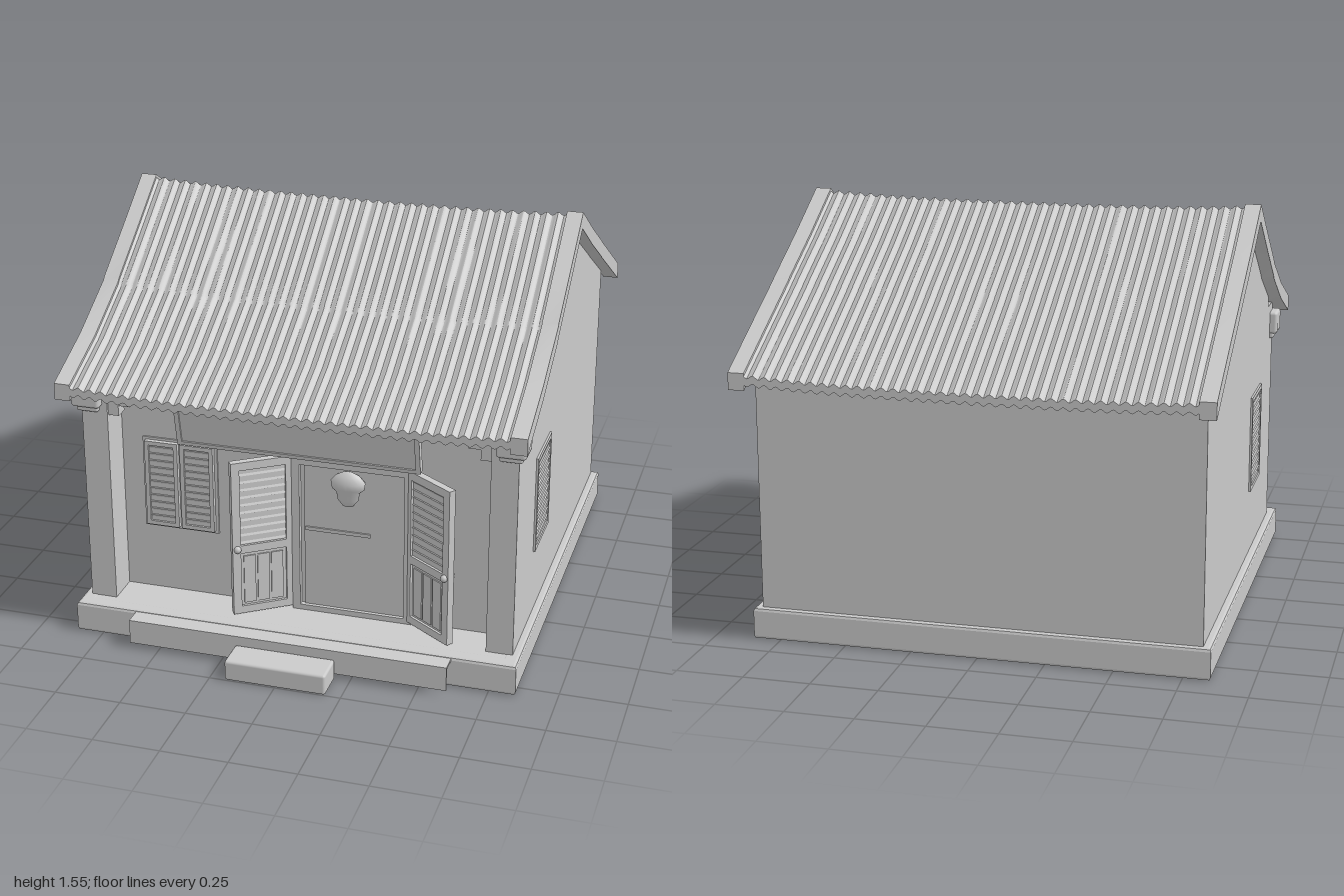
import * as THREE from 'three';
import { toCreasedNormals } from 'three/addons/utils/BufferGeometryUtils.js';
import { RoundedBoxGeometry } from 'three/addons/geometries/RoundedBoxGeometry.js';

const plaster = new THREE.MeshStandardMaterial({ color: 0xcacaca });
plaster.name = 'plainGrey';

// roof top line as [z, y], front eave to back eave
const ROOF = [[0.85, 1.035], [0.6, 1.135], [0.365, 1.26], [0.35, 1.275], [0.15, 1.41], [-0.06, 1.555],
  [-0.3, 1.415], [-0.53, 1.29], [-0.545, 1.28], [-0.75, 1.17], [-1.0, 1.035]];

function roofY(z) {
  for (let i = 0; i < ROOF.length - 1; i++) {
    const [z0, y0] = ROOF[i], [z1, y1] = ROOF[i + 1];
    if (z <= z0 && z >= z1) return y0 + (y1 - y0) * (z0 - z) / (z0 - z1);
  }
  return 1;
}

function add(parent, name, geo, x = 0, y = 0, z = 0) {
  const m = new THREE.Mesh(geo, plaster);
  m.name = name;
  m.position.set(x, y, z);
  parent.add(m);
  return m;
}

// box given by its limits, optionally with rounded edges
function block(parent, name, x0, x1, y0, y1, z0, z1, r = 0) {
  const s = [x1 - x0, y1 - y0, z1 - z0];
  const geo = r ? new RoundedBoxGeometry(...s, 2, r) : new THREE.BoxGeometry(...s);
  return add(parent, name, geo, (x0 + x1) / 2, (y0 + y1) / 2, (z0 + z1) / 2);
}

// slab that follows the roof line between x0 and x1
function roofSlab(x0, x1, top, bottom, segments, offset) {
  const n = ROOF.length - 1;
  const geo = new THREE.BoxGeometry(x1 - x0, 1, 1, segments, 1, n);
  const p = geo.attributes.position;
  for (let i = 0; i < p.count; i++) {
    const x = p.getX(i) + (x0 + x1) / 2;
    const [z, y] = ROOF[Math.round((0.5 - p.getZ(i)) * n)];
    p.setXYZ(i, x, y + (p.getY(i) > 0 ? top : bottom) + offset(x), z);
  }
  return toCreasedNormals(geo, 0.45);
}

// louvred panel, lower left corner at the origin, facing +z
function louvres(parent, w, h, depth, count, rim) {
  block(parent, 'backing', rim / 2, w - rim / 2, rim / 2, h - rim / 2, -depth * 0.15, depth * 0.15);
  for (const x of [0, w - rim]) block(parent, 'stile', x, x + rim, 0, h, -depth / 2, depth / 2);
  for (const y of [0, h - rim]) block(parent, 'rail', rim, w - rim, y, y + rim, -depth / 2, depth / 2);
  const pitch = (h - 2 * rim) / count;
  for (let i = 0; i < count; i++) {
    const slat = add(parent, 'slat', new THREE.BoxGeometry(w - 2 * rim, pitch * 0.8, 0.006), w / 2, rim + pitch * (i + 0.5), 0);
    slat.rotation.x = 0.45;
  }
}

// door leaf hinged at the origin and reaching along +x
function doorLeaf(parent, name, x, angle) {
  const g = new THREE.Group();
  g.name = name;
  g.position.set(x, 0.13, 0.6);
  g.rotation.y = angle;
  parent.add(g);
  const upper = new THREE.Group();
  upper.name = 'upperLouvres';
  upper.position.y = 0.25;
  g.add(upper);
  louvres(upper, 0.24, 0.37, 0.028, 10, 0.032);
  for (const sx of [0, 0.208]) block(g, 'lowerStile', sx, sx + 0.032, 0, 0.25, -0.014, 0.014);
  block(g, 'bottomRail', 0.032, 0.208, 0, 0.03, -0.014, 0.014);
  block(g, 'lowerPanel', 0.03, 0.21, 0.02, 0.25, -0.004, 0.004);
  for (let i = 0; i < 3; i++) block(g, 'plank', 0.045 + i * 0.053, 0.09 + i * 0.053, 0.04, 0.235, -0.009, 0.009);
  add(g, 'knob', new THREE.SphereGeometry(0.014, 12, 8), 0.222, 0.27, 0.018);
  add(g, 'knob', new THREE.SphereGeometry(0.014, 12, 8), 0.222, 0.27, -0.018);
}

export function createModel() {
  const house = new THREE.Group();
  house.name = 'house';

  // hollow plinth with a floor set inside
  const rect = (path, x, zf, zb) => {
    path.moveTo(-x, -zf); path.lineTo(x, -zf); path.lineTo(x, -zb); path.lineTo(-x, -zb); path.closePath();
    return path;
  };
  const ring = rect(new THREE.Shape(), 0.838, 0.798, -0.878);
  ring.holes.push(rect(new THREE.Path(), 0.8, 0.76, -0.84));
  const plinthGeo = new THREE.ExtrudeGeometry(ring, { depth: 0.096, bevelThickness: 0.012, bevelSize: 0.012, bevelSegments: 2 });
  plinthGeo.rotateX(-Math.PI / 2);
  add(house, 'plinth', plinthGeo, 0, 0.012, 0);
  block(house, 'floor', -0.82, 0.82, 0.09, 0.119, -0.86, 0.78);

  // landing in front of the porch and the step
  block(house, 'landingTop', -0.61, 0.61, 0.105, 0.115, 0.8, 0.877);
  block(house, 'landingFront', -0.61, 0.61, 0.02, 0.115, 0.869, 0.877);
  block(house, 'step', -0.192, 0.192, 0, 0.08, 0.875, 1.0, 0.01);

  // body with gables, cut to the roof line
  const s = new THREE.Shape();
  const zs = [0.6, ...ROOF.map(q => q[0]).filter(z => z < 0.59 && z > -0.86), -0.87];
  s.moveTo(-0.6, 0.11);
  s.lineTo(0.87, 0.11);
  for (const z of zs.reverse()) s.lineTo(-z, roofY(z) - 0.052);
  s.closePath();
  const body = new THREE.ExtrudeGeometry(s, { depth: 1.64, bevelEnabled: false });
  body.rotateY(Math.PI / 2);
  add(house, 'walls', body, -0.82, 0, 0);

  // porch corners: pillars, capitals and stepped brackets
  for (const side of [-1, 1]) {
    const span = (name, a, b, y0, y1, z0, z1, r) =>
      block(house, name, Math.min(side * a, side * b), Math.max(side * a, side * b), y0, y1, z0, z1, r);
    span('pillar', 0.72, 0.82, 0.11, 1.035, 0.59, 0.73);
    span('capital', 0.74, 0.85, 0.91, 1.0, 0.655, 0.763, 0.012);
    span('capitalNeck', 0.75, 0.835, 0.89, 0.92, 0.66, 0.748, 0.008);
    span('bracket', 0.68, 0.73, 0.875, 1.0, 0.665, 0.72);
    span('bracket', 0.635, 0.69, 0.915, 1.0, 0.665, 0.72);
    span('bracket', 0.59, 0.64, 0.95, 1.0, 0.665, 0.72);
  }
  block(house, 'eaveBeam', -0.73, 0.73, 0.965, 1.035, 0.66, 0.72);

  // blank board above the door, leaning forward
  const board = new THREE.Group();
  board.name = 'board';
  board.position.set(0, 0.785, 0.685);
  board.rotation.x = 0.2;
  house.add(board);
  block(board, 'boardPanel', -0.46, 0.46, 0, 0.24, -0.012, 0.012);
  for (const x of [-0.46, 0.442]) block(board, 'boardEdge', x, x + 0.018, 0, 0.24, 0.01, 0.018);
  block(board, 'boardLip', -0.46, 0.46, 0, 0.015, 0.01, 0.018);

  // roof: corrugated sheet with a slight sag, and trims on the gables
  const sag = x => -0.02 * (1 - Math.pow(Math.abs(x) / 0.87, 3));
  const wave = x => sag(x) + 0.006 * Math.cos(x * Math.PI * 2 * 38 / 1.64);
  add(house, 'corrugatedRoof', roofSlab(-0.82, 0.82, -0.008, -0.038, 304, wave));
  for (const x of [-0.87, 0.81]) add(house, 'gableTrim', roofSlab(x, x + 0.06, 0, -0.063, 1, () => 0));

  // door: panel, frame and mid rail
  const door = new THREE.Group();
  door.name = 'door';
  house.add(door);
  block(door, 'doorPanel', -0.005, 0.385, 0.14, 0.72, 0.59, 0.606);
  for (const x of [-0.05, 0.38]) block(door, 'jamb', x, x + 0.03, 0.115, 0.745, 0.59, 0.62);
  block(door, 'doorHead', -0.05, 0.41, 0.72, 0.745, 0.59, 0.62);
  block(door, 'sill', -0.05, 0.41, 0.115, 0.14, 0.59, 0.62);
  block(door, 'midRail', 0.0, 0.25, 0.452, 0.466, 0.6, 0.612);
  doorLeaf(door, 'rightLeaf', -0.05, Math.PI + 0.61);
  doorLeaf(door, 'leftLeaf', 0.39, -0.61);

  // small lantern on the door
  const lantern = new THREE.Group();
  lantern.name = 'lantern';
  lantern.position.set(0.17, 0.58, 0.63);
  house.add(lantern);
  const profile = [[0, 0], [0.02, 0.004], [0.04, 0.03], [0.045, 0.06], [0.062, 0.075], [0.066, 0.1], [0.045, 0.125], [0.015, 0.14], [0, 0.142]];
  add(lantern, 'lanternBody', new THREE.LatheGeometry(profile.map(q => new THREE.Vector2(...q)), 16)).scale.z = 0.5;
  block(lantern, 'lanternMount', -0.03, 0.03, 0.07, 0.12, -0.035, 0);

  // front window with a pair of shutters
  const win = new THREE.Group();
  win.name = 'frontWindow';
  win.position.set(-0.625, 0.395, 0.6);
  house.add(win);
  block(win, 'windowFrame', -0.012, 0.282, -0.012, 0.355, -0.01, 0.006);
  for (const x of [0, 0.14]) {
    const leaf = new THREE.Group();
    leaf.name = 'shutter';
    leaf.position.set(x, 0, 0.012);
    win.add(leaf);
    louvres(leaf, 0.13, 0.345, 0.024, 11, 0.016);
  }

  // louvred windows on both side walls
  for (const side of [-1, 1]) {
    const g = new THREE.Group();
    g.name = side > 0 ? 'leftWindow' : 'rightWindow';
    g.position.set(side * 0.82, 0.38, side > 0 ? 0.41 : 0.16);
    g.rotation.y = side * Math.PI / 2;
    house.add(g);
    louvres(g, 0.25, 0.38, 0.016, 11, 0.018);
  }
  return house;
}
